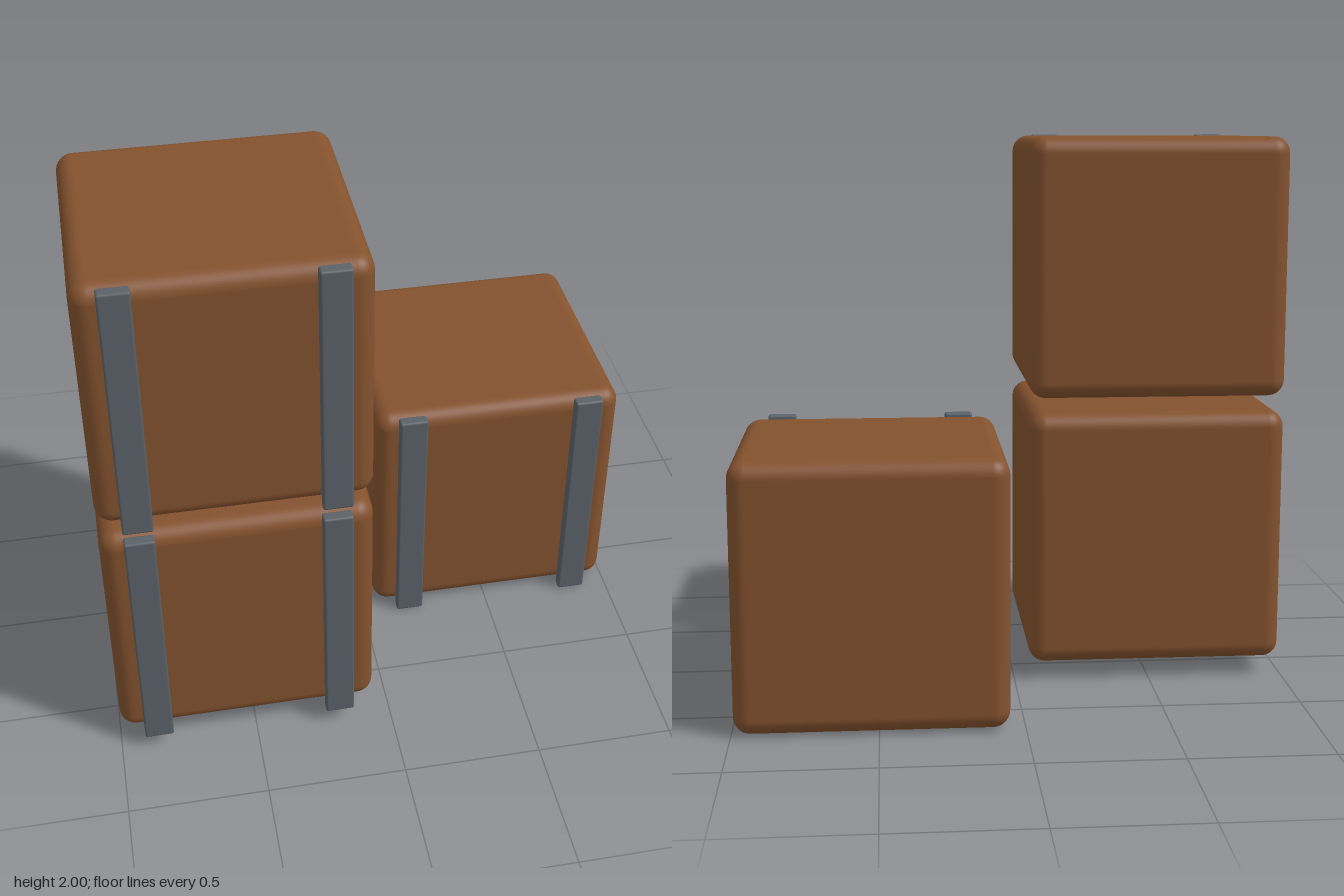
import * as THREE from 'three';
import { RoundedBoxGeometry } from 'three/addons/geometries/RoundedBoxGeometry.js';

export function createModel() {
  const model = new THREE.Group();
  model.name = 'crateStack';

  const wood = new THREE.MeshStandardMaterial({ color: 0x84522e });
  wood.name = 'brown wood';
  const metal = new THREE.MeshStandardMaterial({ color: 0x5a6268 });
  metal.name = 'grey metal';

  const W = 0.94, H = 0.94, D = 0.886;
  const bodyGeo = new RoundedBoxGeometry(W, H, D, 5, 0.06);
  const strapGeo = new RoundedBoxGeometry(0.104, 0.95, 0.044, 2, 0.008);

  // One rounded crate with two upright straps on its front
  function addCrate(name, x, y, z) {
    const crate = new THREE.Group();
    crate.name = name;
    crate.position.set(x, y, z);
    const body = new THREE.Mesh(bodyGeo, wood);
    body.name = 'crateBody';
    crate.add(body);
    for (const side of [-1, 1]) {
      const strap = new THREE.Mesh(strapGeo, metal);
      strap.name = side < 0 ? 'rightStrap' : 'leftStrap';
      strap.position.set(side * 0.335, 0, D / 2 + 0.02);
      crate.add(strap);
    }
    model.add(crate);
  }

  addCrate('lowerCrate', -0.525, 0.531, 0.241);
  addCrate('upperCrate', -0.525, 1.525, 0.241);
  addCrate('sideCrate', 0.523, 0.475, -0.284);

  return model;
}
